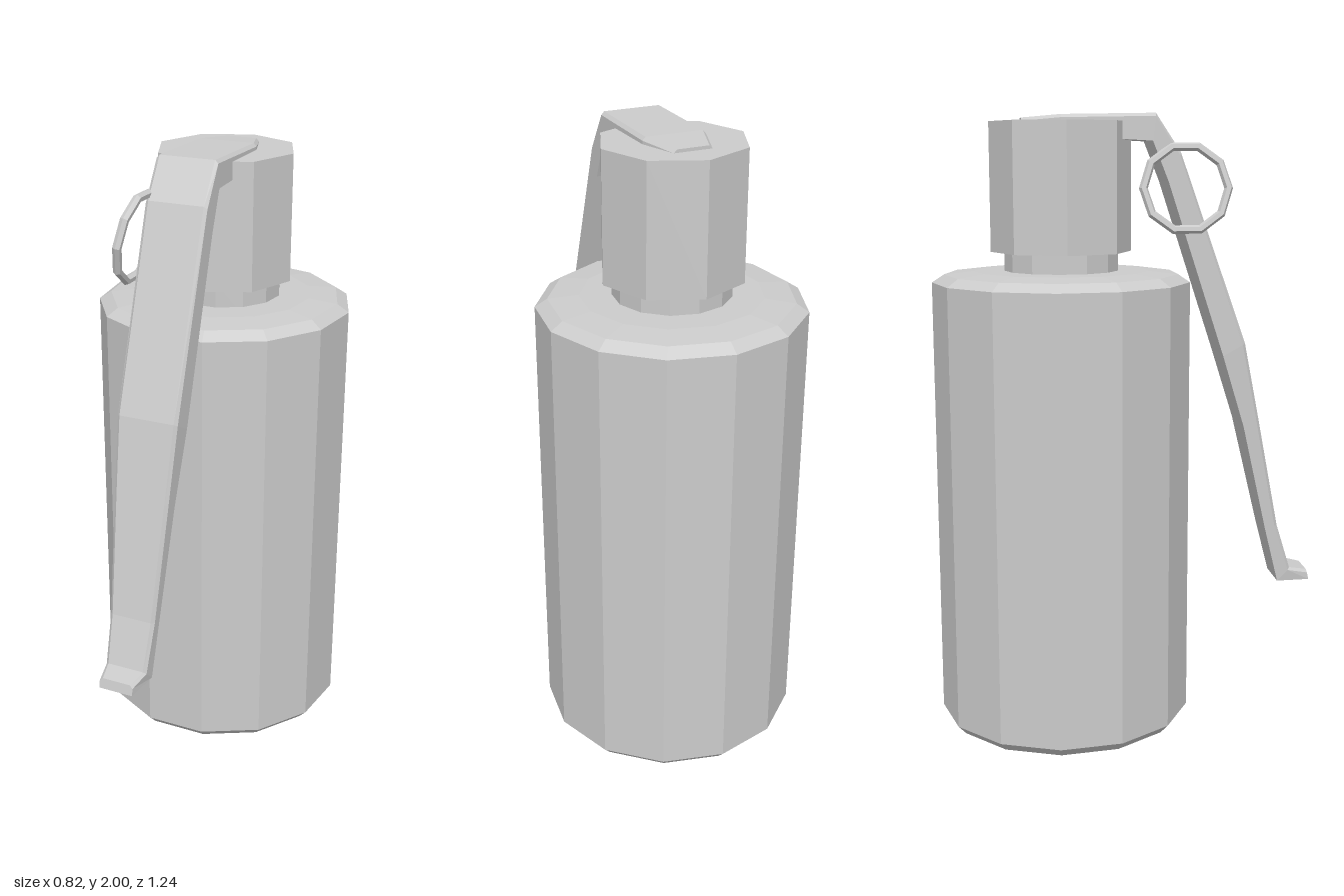
import * as THREE from 'three';

const AXIS_Z = -0.21; // the canister stands behind the centre, the lever in front

export function createModel() {
  const model = new THREE.Group();
  const material = new THREE.MeshStandardMaterial({ color: 0xcccccc, flatShading: true });

  const add = (name, geometry, x, y, z) => {
    const mesh = new THREE.Mesh(geometry, material);
    mesh.name = name;
    mesh.position.set(x, y, z);
    model.add(mesh);
  };
  // Turned part with one corner pointing straight back
  const turned = (name, profile, sides) => add(name,
    new THREE.LatheGeometry(profile.map(p => new THREE.Vector2(...p)), sides, Math.PI), 0, 0, AXIS_Z);

  // Canister with rounded rims
  turned('body', [[0, 0], [0.32, 0], [0.385, 0.02], [0.413, 0.05],
    [0.413, 1.475], [0.375, 1.5], [0.28, 1.51], [0, 1.51]], 13);
  turned('neck', [[0.182, 1.48], [0.182, 1.59]], 13);
  turned('cap', [[0, 1.57], [0.225, 1.57], [0.225, 1.975], [0, 1.975]], 8);

  // Safety lever, bent over the cap and tapering to a turned-out toe
  add('lever', leverGeometry(), 0, 0, 0);

  // Pull ring, leaning against the right side of the lever
  const ring = new THREE.TorusGeometry(0.135, 0.014, 6, 10);
  ring.rotateY(Math.PI / 2).rotateZ(-0.17);
  add('pullRing', ring, -0.12, 1.77, 0.172);

  return model;
}

function leverGeometry() {
  // Stations: outer z, outer y, inner z, inner y, half width
  const stations = [
    [-0.335, 1.985, -0.335, 1.94, 0.06],
    [-0.215, 1.995, -0.215, 1.93, 0.1],
    [0.08, 2.0, 0.07, 1.915, 0.1],
    [0.16, 1.88, 0.12, 1.79, 0.1],
    [0.375, 1.275, 0.302, 1.235, 0.1],
    [0.425, 1.03, 0.375, 1.0, 0.091],
    [0.5, 0.655, 0.458, 0.645, 0.076],
    [0.548, 0.503, 0.505, 0.46, 0.07],
    [0.61, 0.49, 0.617, 0.457, 0.057],
  ];
  const bevel = 0.01;
  const positions = [], index = [];
  for (const [oz, oy, iz, iy, w] of stations) {
    // Shoulder point just below the outer face, for the bevelled edges
    const t = bevel / Math.hypot(iz - oz, iy - oy);
    const sz = oz + (iz - oz) * t, sy = oy + (iy - oy) * t;
    positions.push(-w, iy, iz, -w, sy, sz, bevel - w, oy, oz,
      w - bevel, oy, oz, w, sy, sz, w, iy, iz);
  }
  const n = 6, last = (stations.length - 1) * n;
  for (let s = 0; s < last; s += n) {
    for (let i = 0; i < n; i++) {
      const a = s + i, b = s + (i + 1) % n;
      index.push(a, a + n, b, b, a + n, b + n);
    }
  }
  // End faces
  for (let i = 1; i < n - 1; i++) {
    index.push(0, i, i + 1, last, last + i + 1, last + i);
  }
  const geometry = new THREE.BufferGeometry();
  geometry.setAttribute('position', new THREE.Float32BufferAttribute(positions, 3));
  geometry.setIndex(index);
  geometry.computeVertexNormals();
  return geometry;
}
